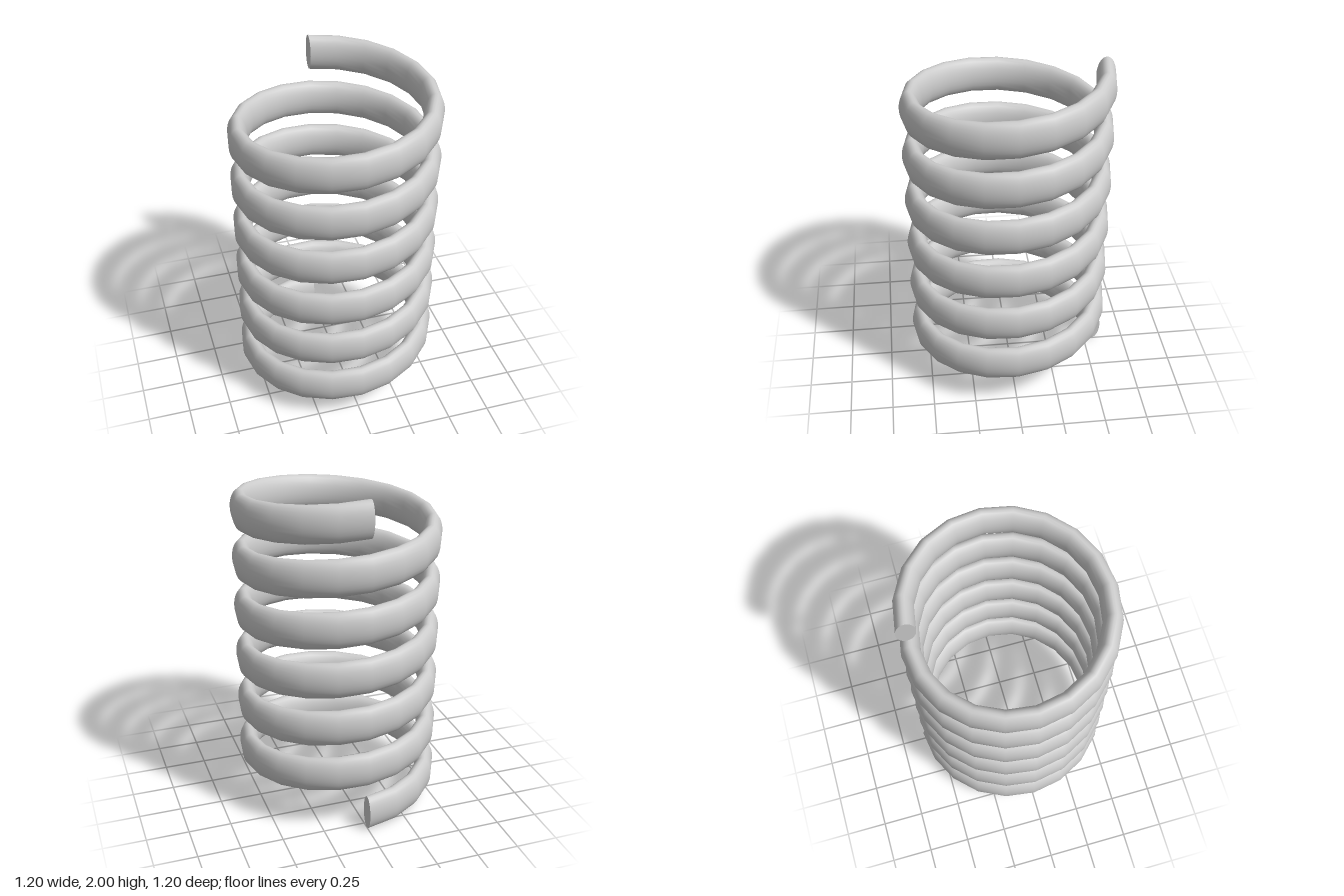
import * as THREE from 'three';

const TURNS = 6, STEPS = 20, SIDES = 24; // coil turns, segments per turn, sides of the wire
const RADIUS = 0.546, HALF_W = 0.055, HALF_H = 0.106; // coil radius and oval wire section
const Y0 = HALF_H, Y1 = 2 - HALF_H;

// Sweeps an upright oval section along a helix that starts and ends at the back
function coilGeometry() {
  const positions = [], indices = [];
  const rings = TURNS * STEPS;
  for (let i = 0; i <= rings; i++) {
    const a = (i / STEPS) * Math.PI * 2;
    const y = Y0 + (Y1 - Y0) * (i / rings);
    for (let j = 0; j < SIDES; j++) {
      const t = (j / SIDES) * Math.PI * 2;
      const r = RADIUS + HALF_W * Math.cos(t);
      positions.push(-r * Math.sin(a), y + HALF_H * Math.sin(t), -r * Math.cos(a));
      if (i < rings) {
        const k = (j + 1) % SIDES;
        const p = i * SIDES + j, q = i * SIDES + k;
        indices.push(p, p + SIDES, q, q, p + SIDES, q + SIDES);
      }
    }
  }
  const geometry = new THREE.BufferGeometry();
  geometry.setAttribute('position', new THREE.Float32BufferAttribute(positions, 3));
  geometry.setIndex(indices);
  geometry.computeVertexNormals();
  return geometry;
}

export function createModel() {
  const group = new THREE.Group();
  group.name = 'coilSpring';
  const material = new THREE.MeshStandardMaterial({ color: 0xcccccc });

  const coil = new THREE.Mesh(coilGeometry(), material);
  coil.name = 'coil';
  group.add(coil);

  // Flat oval caps on the cut ends of the wire
  for (const [name, y, side] of [['bottomEnd', Y0, 1], ['topEnd', Y1, -1]]) {
    const geometry = new THREE.CircleGeometry(1, SIDES)
      .scale(HALF_W, HALF_H, 1)
      .rotateY(side * Math.PI / 2);
    const cap = new THREE.Mesh(geometry, material);
    cap.name = name;
    cap.position.set(0, y, -RADIUS);
    group.add(cap);
  }
  return group;
}
